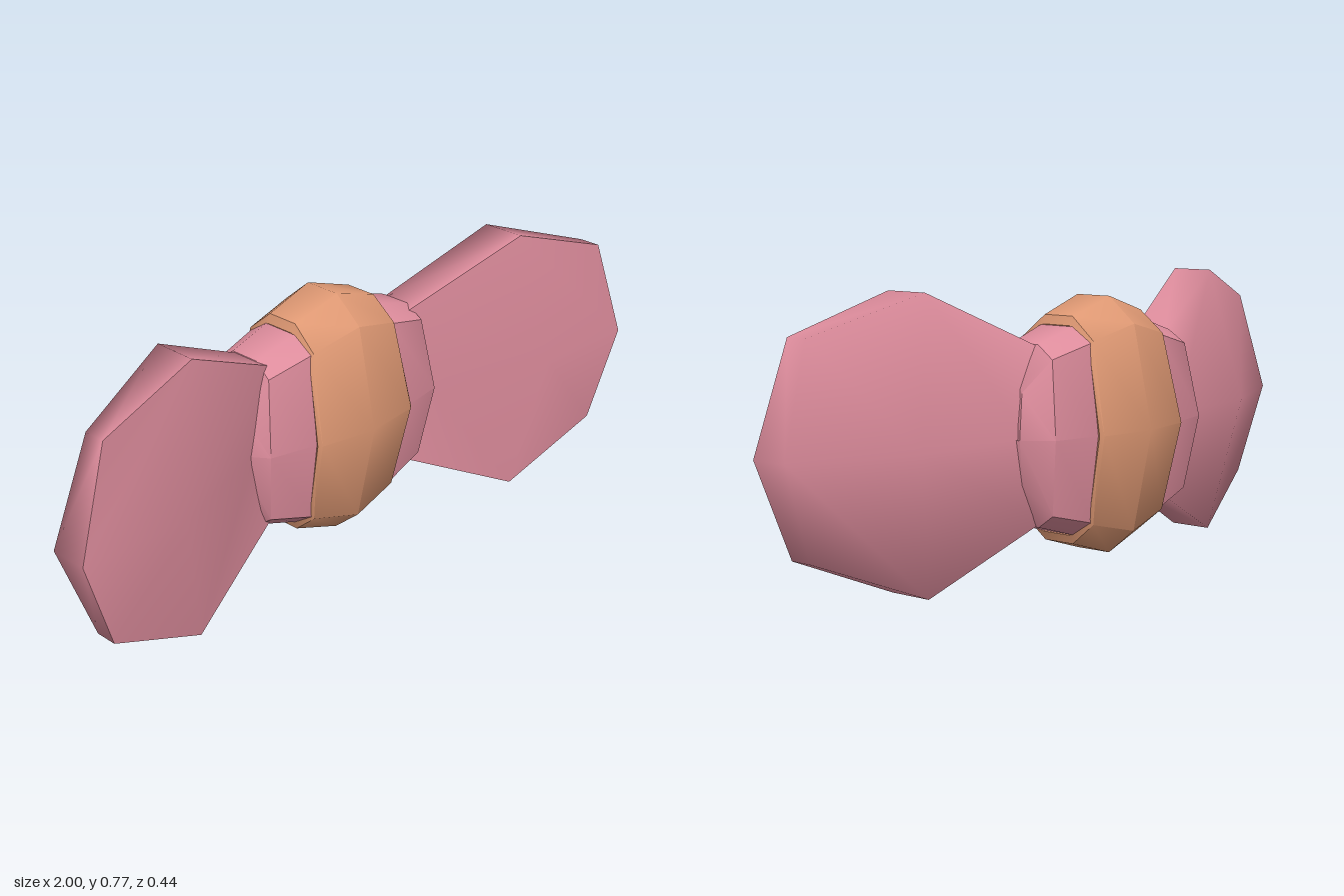
import * as THREE from 'three';
import { mergeVertices, toCreasedNormals } from 'three/addons/utils/BufferGeometryUtils.js';

const CY = 0.3875; // height of the centre line

// Smooth surface over a grid of [x, y, z] points; side -1 mirrors it in x
function sheet(grid, side = 1) {
  const n = grid[0].length, index = [];
  for (let i = 0; i < grid.length - 1; i++) {
    for (let j = 0; j < n - 1; j++) {
      const a = i * n + j, b = a + 1, c = a + n, d = c + 1;
      if (side > 0) index.push(a, c, b, b, c, d);
      else index.push(a, b, c, b, d, c);
    }
  }
  const points = grid.flat().flatMap(([x, y, z]) => [x * side, y + CY, z]);
  let g = new THREE.BufferGeometry();
  g.setAttribute('position', new THREE.Float32BufferAttribute(points, 3));
  g.setIndex(index);
  g = mergeVertices(g, 1e-4);
  g.computeVertexNormals();
  return g;
}

// Ring-shaped band: a ten-sided profile swept along x, its middle bulging outwards
function band(profile, stations, bulge) {
  const half = [...profile, ...profile.slice().reverse().map(([y, z]) => [y, -z])];
  const loop = [...half, ...half.slice(1, -1).reverse().map(([y, z]) => [-y, z]), half[0]];
  const top = profile[profile.length - 1][0];
  const grid = stations.map(([x, sy, sz]) => loop.map(([y, z]) =>
    [x + Math.sign(x) * bulge * (1 - Math.abs(y) / top), y * sy, z * sz - 0.018]));
  return toCreasedNormals(sheet(grid), 0.75);
}

// Mirror a list of stations, given from the centre outwards
const mirrored = (list) => [
  ...list.slice().reverse().filter(([x]) => x > 0).map(([x, a, b]) => [-x, a, b]),
  ...list,
];

export function createModel() {
  const pink = new THREE.MeshStandardMaterial({ color: 0xdd8c9c });
  pink.name = 'pink fabric';
  const orange = new THREE.MeshStandardMaterial({ color: 0xde9873 });
  orange.name = 'orange fabric';

  const model = new THREE.Group();
  model.name = 'bow';
  const add = (parent, name, geometry, material) => {
    const mesh = new THREE.Mesh(geometry, material);
    mesh.name = name;
    parent.add(mesh);
  };

  // Centre knot with chamfered, turned-in rims
  add(model, 'knot', band(
    [[0, 0.2], [0.28, 0.14], [0.35, 0.055]],
    mirrored([[0, 1, 1], [0.145, 0.87, 0.87], [0.155, 0.8, 0.83], [0.14, 0.7, 0.7]]), 0.022), orange);

  // Gathered core under the knot
  add(model, 'core', band(
    [[0, 0.158], [0.24, 0.118], [0.282, 0.055]],
    mirrored([[0.14, 1, 1], [0.28, 0.85, 0.82], [0.335, 0.5, 0.35], [0.335, 0.01, 0.01]]), 0.03), pink);

  // Wing columns from root to tip: edge and middle points as [x, y, back z, front z]
  const edge = [[0.26, 0.228, -0.06, 0.05], [0.6, 0.3875, 0.028, 0.156], [0.905, 0.29, 0.13, 0.194]];
  const middle = [[0.32, 0, -0.065, 0.06], [0.68, 0, -0.035, 0.215], [1, 0, 0.105, 0.217]];

  for (const side of [1, -1]) {
    const wing = new THREE.Group();
    wing.name = side > 0 ? 'leftWing' : 'rightWing';
    const front = [], back = [];
    edge.forEach(([x, y, zb, zf], i) => {
      const [mx, my, mb, mf] = middle[i];
      const low = i === 2 ? -0.26 : -y;
      front.push([[x, low, zf], [mx, my, mf], [x, y, zf]]);
      back.push([[x, y, zf], [x, y, zb], [mx, my, mb], [x, low, zb], [x, low, zf]]);
    });
    // The back sheet wraps round the tip to the front edge
    const [b, m, t] = front[2];
    back.push([t, t, m, b, b]);
    add(wing, 'wingFront', sheet(front, side), pink);
    add(wing, 'wingBack', sheet(back, side), pink);
    model.add(wing);
  }
  return model;
}
